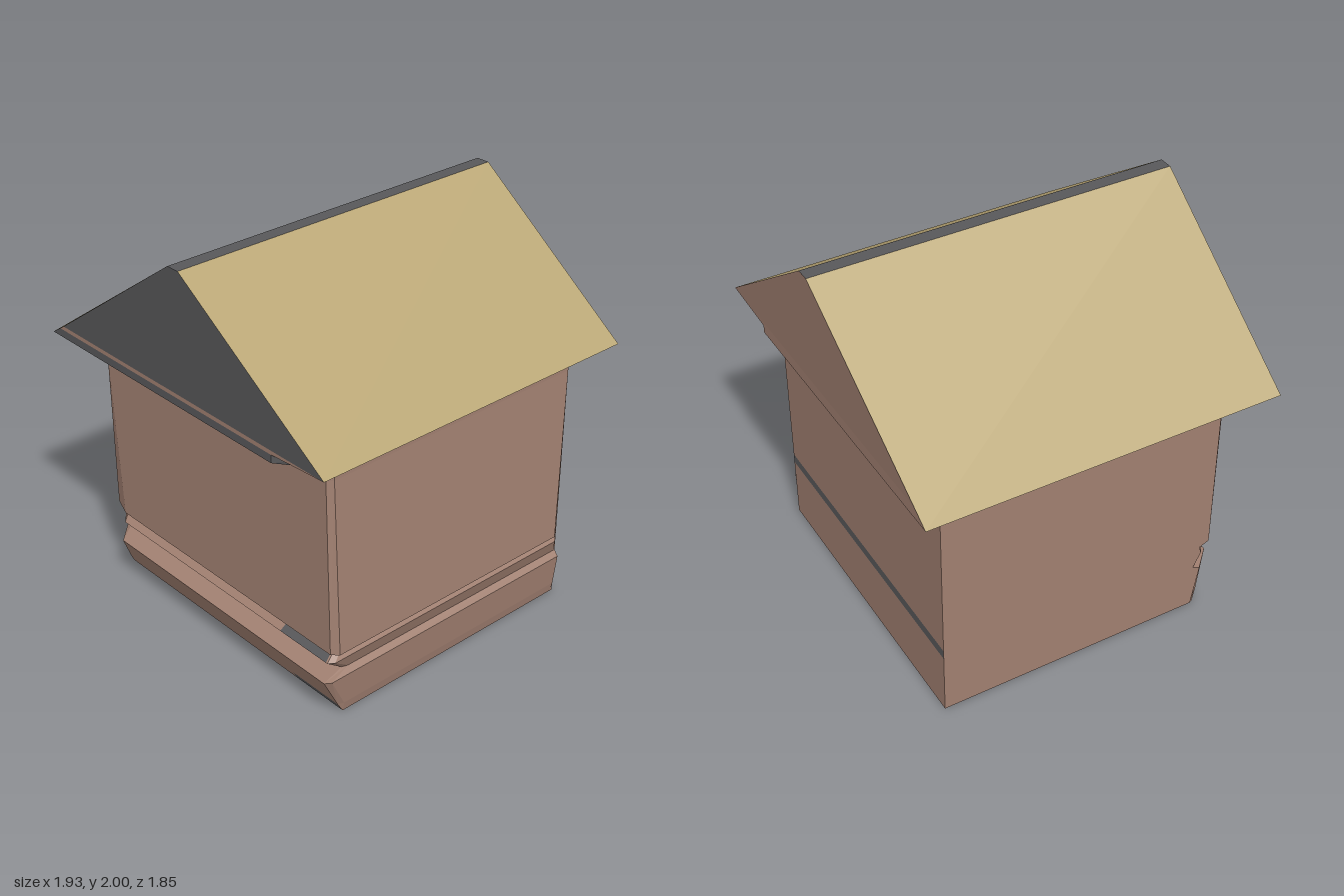
import * as THREE from 'three';

const paint = (color) => new THREE.MeshStandardMaterial({ color, side: THREE.DoubleSide, flatShading: true });
const wallPaint = paint(0xa07f70);
const roofPaint = paint(0xb8a574);
const greyPaint = paint(0x58585a);

// Flat-shaded sheet through rows of points (bottom to top, left to right seen from outside).
// keep(row, column) picks which cells belong to this mesh.
function sheet(name, rows, material, keep = () => true) {
  const pos = [];
  for (let i = 0; i < rows.length - 1; i++) {
    for (let j = 0; j < rows[i].length - 1; j++) {
      if (!keep(i, j)) continue;
      const a = rows[i][j], b = rows[i][j + 1], c = rows[i + 1][j + 1], d = rows[i + 1][j];
      pos.push(...a, ...b, ...c, ...a, ...c, ...d);
    }
  }
  const geometry = new THREE.BufferGeometry();
  geometry.setAttribute('position', new THREE.Float32BufferAttribute(pos, 3));
  geometry.computeVertexNormals();
  const mesh = new THREE.Mesh(geometry, material);
  mesh.name = name;
  return mesh;
}

// Wall levels: height, front wall left end x, left wall front end z,
// front wall z, front wall right end x, right wall x, right wall back end z
const levels = [
  [0.00, -0.78, 0.64, 0.66, 0.81, 0.81, -0.73],
  [0.05, -0.76, 0.65, 0.69, 0.81, 0.82, -0.73],
  [0.22, -0.69, 0.68, 0.78, 0.82, 0.84, -0.73],
  [0.24, -0.77, 0.64, 0.66, 0.80, 0.81, -0.73],
  [0.32, -0.69, 0.68, 0.76, 0.82, 0.84, -0.70],
  [0.36, -0.73, 0.67, 0.70, 0.80, 0.81, -0.72],
  [0.38, -0.68, 0.72, 0.76, 0.84, 0.87, -0.66],
  [1.24, -0.77, 0.72, 0.74, 0.79, 0.81, -0.73],
  [1.30, -0.77, 0.72, 0.74, 0.79, 0.81, -0.73],
];
const leftX = -0.79, backZ = -0.74;

function addWalls(group) {
  // Front wall with grooves, top band and two dark patches
  const front = levels.map(([y, ax, , z, gx]) => [ax, 0.5, gx - 0.01, gx].map((x) => [x, y, z]));
  const dark = (i, j) => i === 7 || (j === 1 && (i === 0 || (i >= 3 && i <= 5)));
  group.add(sheet('frontWall', front, wallPaint, (i, j) => !dark(i, j)));
  group.add(sheet('frontWallBands', front, greyPaint, dark));

  // Right wall with its narrow corner facets
  group.add(sheet('sideWall', levels.map(([y, , , z, gx, fx, ez]) =>
    [[gx, y, z], [fx, y, z - 0.03], [fx, y, ez], [0.81, y, backZ]]), wallPaint));

  // Plain back wall with two bands
  const back = levels.map(([y]) => [[0.81, y, backZ], [leftX, y, backZ]]);
  const band = (i) => i === 5 || i === 4 || i === 7;
  // narrow the lower band to 0.33 - 0.38
  back[4] = back[4].map(([x, , z]) => [x, 0.33, z]);
  group.add(sheet('backWall', back, wallPaint, (i) => !band(i)));
  group.add(sheet('backWallBands', back, greyPaint, band));

  // Plain opposite side wall, ending in the folded front corner
  group.add(sheet('oppositeSideWall', levels.map(([y, ax, bz, z]) =>
    [[leftX, y, backZ], [leftX, y, bz], [ax, y, z]]), wallPaint));
}

function addRoof(group) {
  const zf = 0.92, zb = -0.93, e = 0.9;
  const row = (x, y, front, back) => [[x, y, back], [x, y, front]];

  // Slopes and ridge cap
  group.add(sheet('roofSlopeRight', [row(-0.97, 1.32, e, -e), row(0, 2, zf, zb)], roofPaint));
  group.add(sheet('ridgeCap', [row(0, 2, zf, zb), row(0.07, 2, zf, zb)], greyPaint));
  group.add(sheet('roofSlopeLeft', [row(0.07, 2, zf, zb), row(0.96, 1.38, e, -e)], roofPaint));

  // Gables with fascia, trim and soffit at both ends
  for (const s of [1, -1]) {
    const end = s > 0 ? 'front' : 'back';
    const line = (x0, x1, y, z) => {
      const pts = [[x0, y, s * z], [x1, y, s * z]];
      return s > 0 ? pts : pts.reverse();
    };
    const top = s > 0 ? zf : -zb;
    const lower = line(-0.97, 0.63, 1.32, e);
    const middle = line(-0.91, 0.63, 1.36, e);
    const upper = line(-0.88, 0.96, 1.38, e);
    group.add(sheet(end + 'Fascia', [lower, middle], s > 0 ? greyPaint : wallPaint));
    group.add(sheet(end + 'Trim', [middle, upper], wallPaint));
    group.add(sheet(end + 'Gable', [upper, line(0, 0.07, 2, top)], s > 0 ? greyPaint : wallPaint));
    group.add(sheet(end + 'Soffit', [line(leftX, 0.79, 1.3, 0.74), lower], greyPaint));
    // Notch where the soffit steps up to the higher eave
    const a = [0.63, 1.36, s * e], b = [0.81, 1.36, s * 0.74];
    group.add(sheet(end + 'SoffitNotch', [
      [[0.63, 1.32, s * e], [0.79, 1.3, s * 0.74]], [a, b], [a, [0.96, 1.38, s * e]]], greyPaint));
  }

  // Eaves along both sides
  group.add(sheet('lowEaveSoffit', [row(leftX, 1.3, 0.74, backZ), row(-0.97, 1.32, e, -e)], greyPaint));
  group.add(sheet('highEaveSoffit', [
    [[0.81, 1.3, 0.74], [0.81, 1.3, backZ]],
    [[0.81, 1.36, 0.74], [0.81, 1.36, backZ]],
    [[0.96, 1.38, e], [0.96, 1.38, -e]]], greyPaint));
}

export function createModel() {
  const model = new THREE.Group();
  model.name = 'house';
  const walls = new THREE.Group();
  walls.name = 'walls';
  addWalls(walls);
  const roof = new THREE.Group();
  roof.name = 'roof';
  addRoof(roof);
  model.add(walls, roof);
  return model;
}
